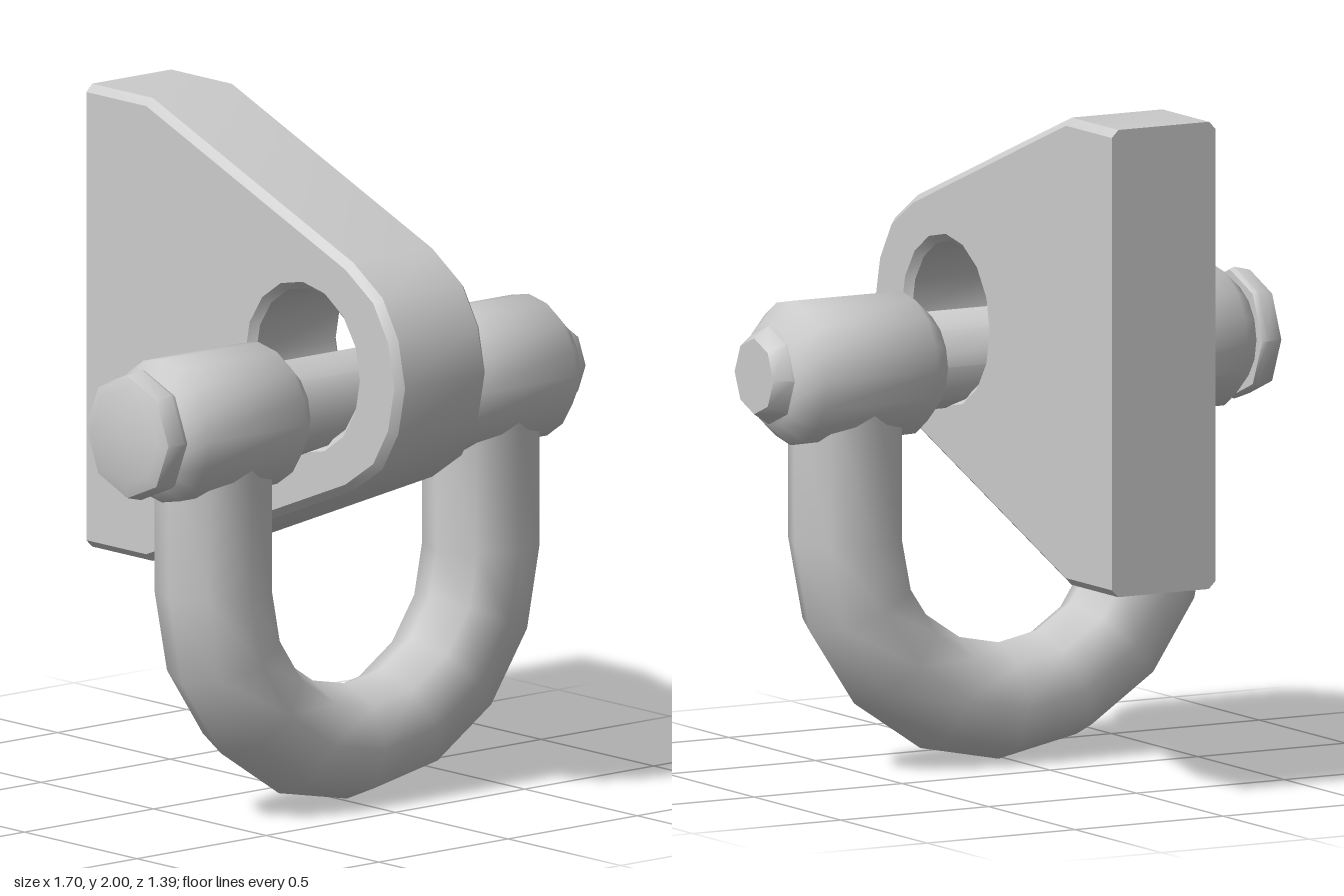
import * as THREE from 'three';
import { mergeVertices, toCreasedNormals } from 'three/addons/utils/BufferGeometryUtils.js';

const CX = 0.022; // middle of plate and shackle
const PIN_Y = 1.195, PIN_Z = 0.26;

function part(name, geometry) {
  const mesh = new THREE.Mesh(geometry, new THREE.MeshStandardMaterial({ color: 0xcccccc }));
  mesh.name = name;
  return mesh;
}

// Turned part along x, from [x, radius] pairs running left to right
function turned(name, profile, sides) {
  const points = profile.map(([x, r]) => new THREE.Vector2(r, x));
  const geometry = new THREE.LatheGeometry(points, sides);
  geometry.rotateZ(-Math.PI / 2);
  geometry.translate(0, PIN_Y, PIN_Z);
  return part(name, toCreasedNormals(geometry, 0.9));
}

// Tapered lug plate with an eye, bevelled except along its flat back
function makePlate() {
  const midY = 1.31, back = -0.7, bevel = 0.022, width = 0.35;
  const upper = [[0.69, 0], [0.66, 0.14], [0.59, 0.255], [0.46, 0.34], [-0.43, 0.69], [-0.76, 0.69]];
  const lower = upper.slice(1).reverse().map(([z, h]) => [z, -h]);
  const shape = new THREE.Shape([...upper, ...lower].map(([z, h]) => new THREE.Vector2(z, midY + h)));
  const eye = new THREE.Path();
  eye.absarc(PIN_Z, midY, 0.232, 0, Math.PI * 2, true);
  shape.holes.push(eye);

  const geometry = new THREE.ExtrudeGeometry(shape, {
    depth: width - 2 * bevel, curveSegments: 8, bevelSegments: 1,
    bevelThickness: bevel, bevelSize: bevel, bevelOffset: -bevel,
  });
  geometry.translate(0, 0, bevel - width / 2);
  geometry.rotateY(-Math.PI / 2);
  geometry.translate(CX + 0.003, 0, 0);
  // Cut the back off square
  const p = geometry.attributes.position;
  for (let i = 0; i < p.count; i++) p.setZ(i, Math.max(p.getZ(i), back));
  return part('lugPlate', toCreasedNormals(geometry, 0.7));
}

// U-shaped bow: an eight-sided rod bent around a half circle
function makeBow() {
  const r = 0.172, R = 0.518, arcY = R + r, rows = 10;
  const geometry = new THREE.CylinderGeometry(r, r, rows, 8, rows, true);
  const p = geometry.attributes.position;
  for (let i = 0; i < p.count; i++) {
    const row = Math.round(p.getY(i) + rows / 2);
    const step = THREE.MathUtils.clamp(row - 1, 0, 8);
    const angle = Math.PI + (step * Math.PI) / 8;
    const legTop = row === 0 || row === rows;
    const reach = R - p.getX(i);
    p.setXYZ(i,
      CX + reach * Math.cos(angle),
      legTop ? PIN_Y - 0.05 : arcY + reach * Math.sin(angle),
      PIN_Z + p.getZ(i));
  }
  geometry.deleteAttribute('uv');
  geometry.deleteAttribute('normal');
  const welded = mergeVertices(geometry, 1e-4);
  // Keep the faces outward after bending
  const a = welded.attributes.position, idx = welded.index;
  let volume = 0;
  const v = [0, 1, 2].map(() => new THREE.Vector3());
  const middle = new THREE.Vector3(CX, PIN_Y - 0.05, PIN_Z);
  for (let i = 0; i < idx.count; i += 3) {
    v.forEach((q, k) => q.fromBufferAttribute(a, idx.getX(i + k)).sub(middle));
    volume += v[0].dot(v[1].cross(v[2]));
  }
  if (volume < 0) idx.array.reverse();
  welded.computeVertexNormals();
  return part('shackleBow', welded);
}

export function createModel() {
  const group = new THREE.Group();
  group.name = 'shackleAndLug';
  group.add(makePlate(), makeBow());

  // Sleeves at the ends of the bow
  for (const [name, x0, x1] of [['rightSleeve', -0.765, -0.25], ['leftSleeve', 0.28, 0.795]]) {
    group.add(turned(name, [
      [x0, 0], [x0, 0.15], [x0 + 0.07, 0.213], [x1 - 0.07, 0.213], [x1, 0.15], [x1, 0],
    ], 16));
  }

  // Cross pin with a chamfered tip
  group.add(turned('pin', [
    [-0.78, 0], [-0.78, 0.145], [0.8, 0.145], [0.848, 0.112], [0.848, 0],
  ], 8));

  // Domed pin head
  group.add(turned('pinHead', [
    [-0.848, 0], [-0.84, 0.145], [-0.828, 0.182], [-0.775, 0.195], [-0.76, 0.188], [-0.76, 0],
  ], 8));
  return group;
}
